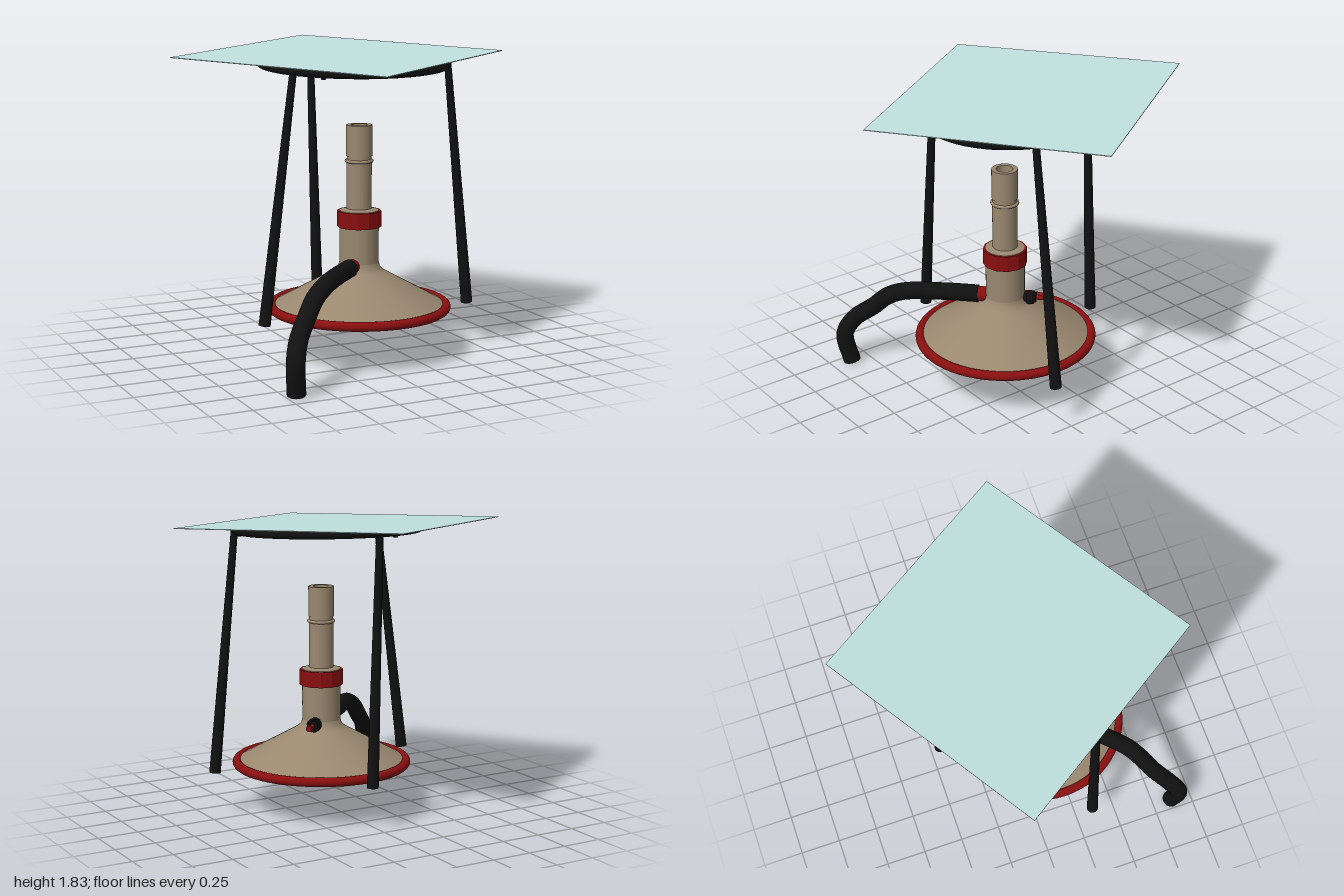
import * as THREE from 'three';

const mat = (name, color, side = THREE.FrontSide) => {
  const m = new THREE.MeshStandardMaterial({ color, side });
  m.name = name;
  return m;
};
const V = (x, y, z) => new THREE.Vector3(x, y, z);

export function createModel() {
  const model = new THREE.Group();
  model.name = 'gasBurnerWithTripod';
  const tan = mat('tanMetal', 0x9a8870);
  const red = mat('redTrim', 0x8a0f10);
  const black = mat('blackIron', 0x111111);
  const glass = mat('paleGlass', 0xbfe0de, THREE.DoubleSide);
  const redFacet = red;

  const add = (parent, name, geo, material, x = 0, y = 0, z = 0) => {
    const m = new THREE.Mesh(geo, material);
    m.name = name;
    m.position.set(x, y, z);
    parent.add(m);
    return m;
  };
  // Cylinder running between two points
  const rod = (parent, name, a, b, ra, rb, material, sides = 24) => {
    const d = b.clone().sub(a);
    const m = add(parent, name, new THREE.CylinderGeometry(rb, ra, d.length(), sides), material);
    m.position.copy(a).addScaledVector(d, 0.5);
    m.quaternion.setFromUnitVectors(V(0, 1, 0), d.normalize());
    return m;
  };
  // Lathe with hard edges: each run of points is its own smooth surface
  const turned = (parent, name, runs, material) => {
    const g = new THREE.Group();
    g.name = name;
    runs.forEach(run => add(g, name + 'Surface',
      new THREE.LatheGeometry(run.map(p => new THREE.Vector2(...p)), 48), material));
    parent.add(g);
  };

  // ---- Burner ----
  const burner = new THREE.Group();
  burner.name = 'burner';
  burner.position.set(0.03, 0, 0.195);
  model.add(burner);

  turned(burner, 'base', [
    [[0, 0.28], [0.52, 0.28]],
    [[0.52, 0.28], [0.52, 0.3]],
    [[0.52, 0.3], [0.2, 0.478], [0.15, 0.507], [0.126, 0.53], [0.118, 0.56]],
    [[0.118, 0.56], [0.118, 0.875]],
    [[0.118, 0.875], [0.075, 0.885]],
  ], tan);
  turned(burner, 'barrel', [
    [[0.075, 0.87], [0.075, 1.16]],
    [[0.075, 1.16], [0.083, 1.163], [0.086, 1.17], [0.083, 1.177], [0.073, 1.18]],
    [[0.073, 1.18], [0.073, 1.2]],
    [[0.073, 1.2], [0.078, 1.2]],
    [[0.078, 1.2], [0.078, 1.385]],
    [[0.078, 1.385], [0.05, 1.385]],
    [[0.05, 1.385], [0.05, 1.25]],
    [[0.05, 1.25], [0, 1.25]],
  ], tan);
  add(burner, 'baseRim', new THREE.TorusGeometry(0.524, 0.028, 16, 64).rotateX(Math.PI / 2),
    red, 0, 0.29, 0);
  add(burner, 'airCollar', new THREE.CylinderGeometry(0.133, 0.133, 0.097, 12).toNonIndexed(),
    redFacet, 0, 0.823, 0).geometry.computeVertexNormals();

  // Inlet and needle valve lie on one line through the neck
  const along = r => V(-0.72 * r, 0.55, 0.69 * r);
  rod(burner, 'gasInlet', along(0.08), along(0.2), 0.045, 0.045, red);
  rod(burner, 'valveBody', along(-0.08), along(-0.19), 0.032, 0.032, black);
  rod(burner, 'valveNut', along(-0.135), along(-0.175), 0.043, 0.043, black, 12);
  rod(burner, 'valveStem', along(-0.18), along(-0.27), 0.013, 0.013, red);
  rod(burner, 'valveKnob', along(-0.245), along(-0.27), 0.019, 0.019, red);

  // ---- Rubber hose ----
  const path = new THREE.CatmullRomCurve3([
    V(-0.09, 0.55, 0.31), V(-0.25, 0.548, 0.465), V(-0.41, 0.535, 0.63), V(-0.5, 0.488, 0.7),
    V(-0.575, 0.405, 0.76), V(-0.665, 0.31, 0.85), V(-0.705, 0.2, 0.9), V(-0.688, 0.01, 0.87),
  ]);
  add(model, 'hose', new THREE.TubeGeometry(path, 64, 0.054, 20), black);
  [[0, -1], [1, 1]].forEach(([t, s]) => {
    const cap = add(model, 'hoseEnd', new THREE.CircleGeometry(0.054, 20), black);
    cap.position.copy(path.getPointAt(t));
    cap.quaternion.setFromUnitVectors(V(0, 0, 1), path.getTangentAt(t).multiplyScalar(s));
  });

  // ---- Tripod ----
  const tripod = new THREE.Group();
  tripod.name = 'tripod';
  model.add(tripod);
  [
    [V(0.7, 0.27, 0.33), V(0.535, 1.745, 0.353)],
    [V(-0.645, 0.27, 0.33), V(-0.465, 1.745, 0.353)],
    [V(0.055, 0.27, -0.455), V(0.005, 1.765, -0.44)],
  ].forEach(([foot, top]) => rod(tripod, 'leg', foot, top, 0.035, 0.021, black));

  // Ring and plate share a slight tilt
  const top = new THREE.Group();
  top.name = 'tripodTop';
  top.position.y = 1.788;
  top.rotation.set(0.039, 0, 0.008);
  model.add(top);
  add(top, 'ring', new THREE.TorusGeometry(0.551, 0.028, 16, 64).rotateX(Math.PI / 2),
    black, 0.033, -0.034, 0.11);
  for (let i = 0; i < 3; i++) {
    const a = 2.34 + i * Math.PI * 2 / 3;
    add(top, 'ringPeg', new THREE.CylinderGeometry(0.014, 0.014, 0.05, 12), black,
      0.033 + 0.545 * Math.cos(a), -0.045, 0.11 + 0.545 * Math.sin(a));
  }
  add(top, 'glassPlate', new THREE.BoxGeometry(1.445, 0.004, 1.445), glass).rotation.y = 0.583;

  return model;
}
